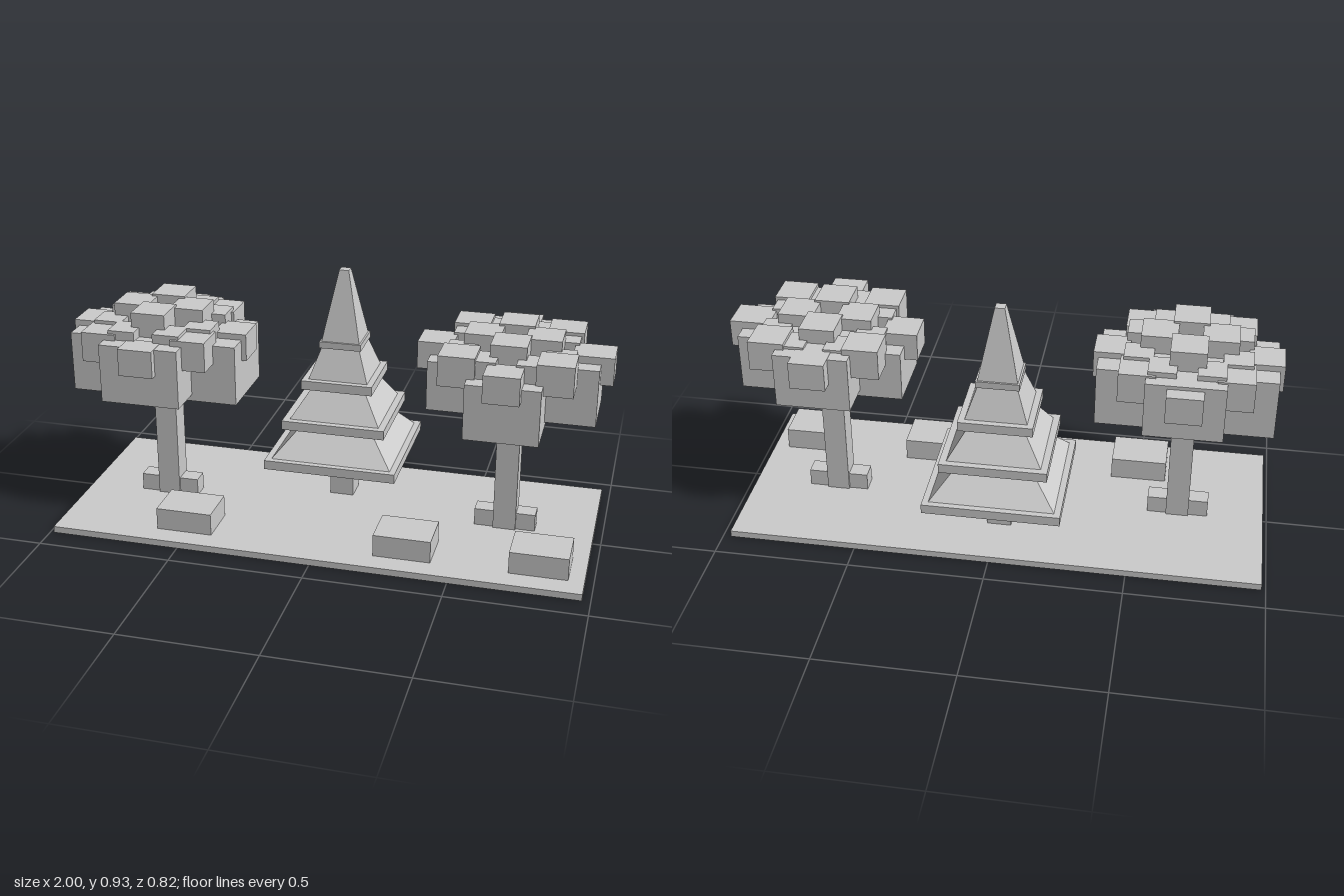
import * as THREE from 'three';

const stone = new THREE.MeshStandardMaterial({ color: 0xcccccc });
stone.name = 'plain grey';

// Box given by its limits on each axis
function block(parent, name, [x0, x1], [y0, y1], [z0, z1]) {
  const mesh = new THREE.Mesh(new THREE.BoxGeometry(x1 - x0, y1 - y0, z1 - z0), stone);
  mesh.name = name;
  mesh.position.set((x0 + x1) / 2, (y0 + y1) / 2, (z0 + z1) / 2);
  parent.add(mesh);
  return mesh;
}

// Square frustum with sides parallel to the axes
function frustum(parent, name, y0, y1, half0, half1) {
  const geo = new THREE.BoxGeometry(2, y1 - y0, 2);
  const p = geo.attributes.position;
  for (let i = 0; i < p.count; i++) {
    const half = p.getY(i) > 0 ? half1 : half0;
    p.setX(i, p.getX(i) * half);
    p.setZ(i, p.getZ(i) * half);
  }
  const flat = geo.toNonIndexed();
  flat.computeVertexNormals();
  const mesh = new THREE.Mesh(flat, stone);
  mesh.name = name;
  mesh.position.y = (y0 + y1) / 2;
  parent.add(mesh);
}

function makePine() {
  const pine = new THREE.Group();
  pine.name = 'pineTree';
  block(pine, 'pineTrunk', [-0.045, 0.045], [0.025, 0.21], [-0.045, 0.045]);
  // eave: bottom, top, half width; then the sloped tier above it
  const tiers = [
    [0.2, 0.235, 0.25, 0.345, 0.227, 0.133],
    [0.345, 0.38, 0.195, 0.49, 0.17, 0.1],
    [0.49, 0.525, 0.135, 0.64, 0.112, 0.072],
    [0.64, 0.665, 0.079, 0.93, 0.072, 0.018],
  ];
  for (const [y0, y1, half, y2, h0, h1] of tiers) {
    frustum(pine, 'pineEave', y0, y1, half, half);
    frustum(pine, 'pineTier', y1, y2, h0, h1);
  }
  return pine;
}

// Leafy tree: four large leaf blocks around the trunk with smaller ones on top.
// sides holds [bottom, top, half width, reach, tuft reach] for +z, +x, -z, -x.
function makeLeafyTree(sides, tuftY, capTop) {
  const tree = new THREE.Group();
  tree.name = 'leafyTree';
  block(tree, 'trunk', [-0.042, 0.042], [0.025, 0.62], [-0.042, 0.042]);
  for (const s of [-1, 1]) {
    const root = block(tree, 'root', [-0.038, 0.038], [0.025, 0.09], [-0.033, 0.033]);
    root.position.x = s * 0.075;
  }
  sides.forEach(([y0, y1, half, reach, tuftReach], i) => {
    const side = new THREE.Group();
    side.name = 'canopySide';
    side.rotation.y = i * Math.PI / 2;
    block(side, 'leafBlock', [-half, half], [y0, y1], [0.045, reach]);
    block(side, 'outerTuft', [-0.064, 0.064], [tuftY, tuftY + 0.102], [0.21, tuftReach]);
    block(side, 'topTuft', [-0.064, 0.064], [0.65, capTop - (i % 2) * 0.008], [0.043, 0.172]);
    // corner tufts between neighbouring blocks
    block(side, 'cornerTuft', [0.105, 0.235], [tuftY + 0.01, tuftY + 0.122], [0.105, 0.235]);
    for (const s of [-1, 1]) {
      const tuft = block(side, 'shoulderTuft', [-0.05, 0.05], [0.66, 0.755], [0.12, 0.225]);
      tuft.position.x = s * 0.085;
    }
    const branch = block(side, 'branch', [-0.018, 0.018], [-0.08, 0.08], [-0.018, 0.018]);
    branch.position.set(0, 0.49, 0.066);
    branch.rotation.x = 0.7;
    tree.add(side);
  });
  return tree;
}

export function createModel() {
  const model = new THREE.Group();
  model.name = 'treeScene';
  block(model, 'ground', [-0.985, 0.97], [0, 0.025], [-0.405, 0.41]);

  const pine = makePine();
  pine.position.set(-0.01, 0, -0.16);
  model.add(pine);

  const rightTree = makeLeafyTree([
    [0.5, 0.72, 0.148, 0.285, 0.312],
    [0.475, 0.7, 0.145, 0.318, 0.336],
    [0.525, 0.735, 0.14, 0.275, 0.33],
    [0.475, 0.7, 0.145, 0.318, 0.336],
  ], 0.62, 0.81);
  rightTree.position.set(-0.663, 0, 0);
  model.add(rightTree);

  const leftTree = makeLeafyTree([
    [0.485, 0.69, 0.132, 0.285, 0.325],
    [0.51, 0.72, 0.125, 0.31, 0.356],
    [0.54, 0.745, 0.135, 0.275, 0.322],
    [0.515, 0.7, 0.13, 0.29, 0.338],
  ], 0.645, 0.8);
  leftTree.position.set(0.642, 0, -0.032);
  model.add(leftTree);

  // Low stones along the front
  for (const x of [-0.5, 0.32, 0.808]) {
    block(model, 'stone', [x - 0.105, x + 0.105], [0.025, 0.108], [0.168, 0.328]);
  }
  return model;
}
